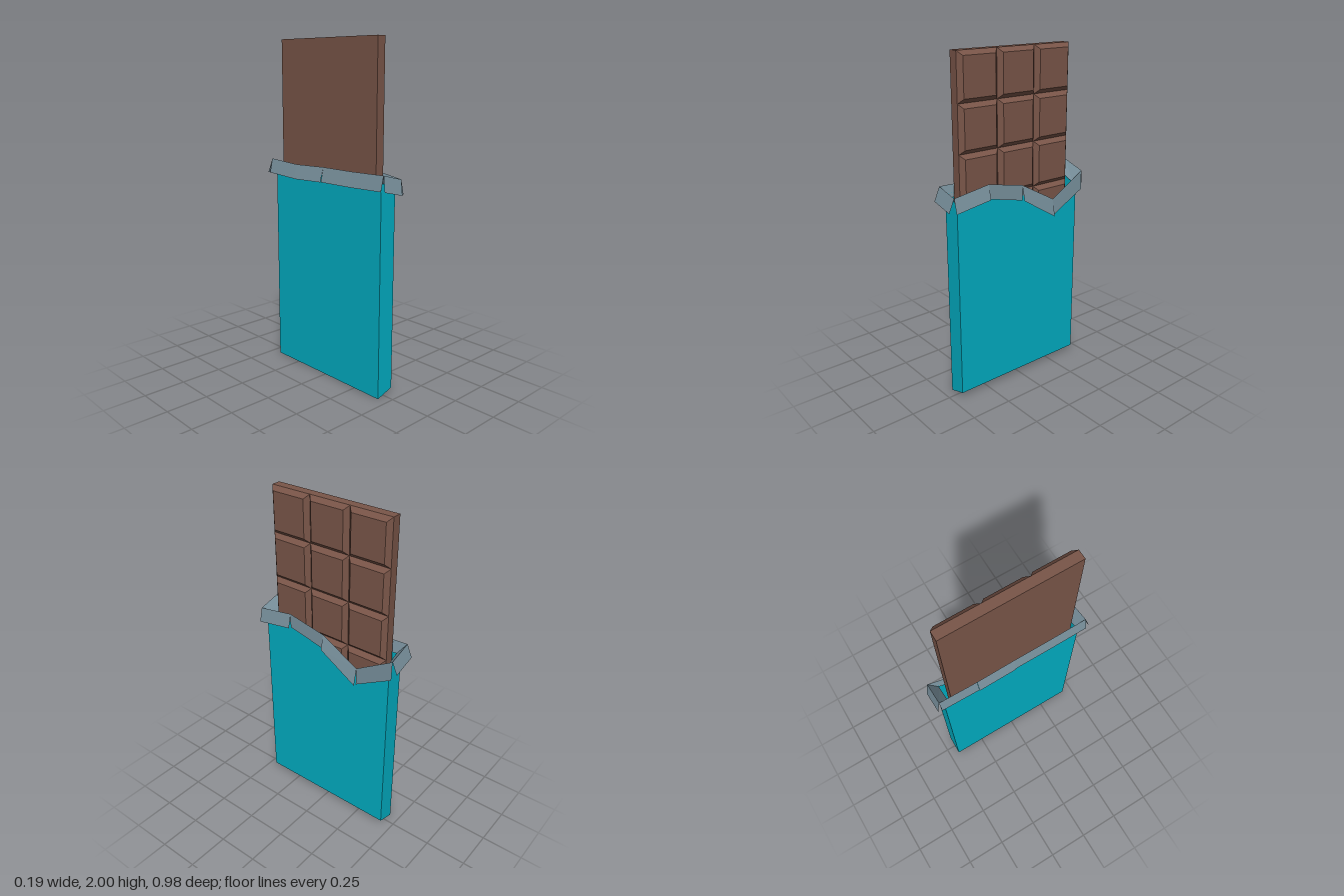
import * as THREE from 'three';

const material = (color) => new THREE.MeshStandardMaterial({ color, flatShading: true, side: THREE.DoubleSide });

// Mesh from a list of four-cornered faces, each corner a [x, y, z] point
function quadMesh(name, quads, mat) {
  const points = quads.flatMap(([a, b, c, d]) => [...a, ...b, ...c, ...a, ...c, ...d]);
  const geometry = new THREE.BufferGeometry();
  geometry.setAttribute('position', new THREE.Float32BufferAttribute(points, 3));
  geometry.computeVertexNormals();
  const mesh = new THREE.Mesh(geometry, mat);
  mesh.name = name;
  return mesh;
}

// Faces between two closed loops of equal length
const band = (lower, upper) => lower.map((p, i) => {
  const j = (i + 1) % lower.length;
  return [p, lower[j], upper[j], upper[i]];
});

// Chocolate piece: a box whose +x face is drawn in to give a bevel
function pieceGeometry(depth, height, width, bevel) {
  const geometry = new THREE.BoxGeometry(depth, height, width);
  const p = geometry.attributes.position;
  for (let i = 0; i < p.count; i++) {
    if (p.getX(i) > 0) {
      p.setY(i, p.getY(i) - Math.sign(p.getY(i)) * bevel);
      p.setZ(i, p.getZ(i) - Math.sign(p.getZ(i)) * bevel);
    }
  }
  geometry.computeVertexNormals();
  return geometry;
}

function createChocolate() {
  const bar = new THREE.Group();
  bar.name = 'chocolateBar';
  const brown = material(0x795548);
  const rows = 7, columns = 3, pitch = 0.27, width = 0.26;

  const slab = new THREE.Mesh(new THREE.BoxGeometry(0.055, rows * pitch, columns * width), brown);
  slab.name = 'chocolateSlab';
  slab.position.set(-0.0175, 2 - rows * pitch / 2, 0);
  bar.add(slab);

  const geometry = pieceGeometry(0.025, pitch, width, 0.025);
  for (let r = 0; r < rows; r++) {
    for (let c = 0; c < columns; c++) {
      const piece = new THREE.Mesh(geometry, brown);
      piece.name = 'chocolatePiece';
      piece.position.set(0.0225, 2 - (r + 0.5) * pitch, (c - 1) * width);
      bar.add(piece);
    }
  }
  return bar;
}

export function createModel() {
  const model = new THREE.Group();
  model.name = 'chocolateBarInWrapper';
  model.add(createChocolate());

  // Torn edge: [side, z fraction, rim height, flap drop, outward lean of the flap that starts here]
  const edge = [
    [1, 1, 1.25, 0.085, 0.02], [1, 0.51, 1.285, 0.085, 0.003], [1, 0, 1.235, 0.09, 0.021],
    [1, -0.505, 1.105, 0.105, 0.003], [1, -1, 1.24, 0.115, 0.022],
    [-1, -1, 1.285, 0.085, 0.02], [-1, -0.5, 1.272, 0.085, 0.024], [-1, 0, 1.28, 0.085, 0.02],
    [-1, 0.5, 1.28, 0.085, 0.02], [-1, 1, 1.285, 0.085, 0.024],
  ];
  const loop = (halfX, halfZ, height, offsetX = 0) =>
    edge.map(([s, f, y]) => [s * halfX + offsetX, height(y, s), f * halfZ]);

  // Paper sleeve with a slanted bottom
  const cyan = material(0x00acc1);
  const sleeveBottom = loop(0.055, 0.44, (y, s) => (s > 0 ? 0.035 : 0), -0.002);
  const sleeveTop = loop(0.055, 0.44, (y) => y - 0.045, -0.002);
  model.add(quadMesh('sleeveWalls', band(sleeveBottom, sleeveTop), cyan));
  model.add(quadMesh('sleeveBottom', [[0, 9, 5, 4].map((i) => sleeveBottom[i])], cyan));

  // Foil lining that flares up to the rim
  const foil = material(0x78909c);
  const rim = loop(0.07, 0.468, (y) => y);
  const lining = loop(0.05, 0.415, (y) => y - 0.07);
  model.add(quadMesh('foilLining', band(lining, rim), foil));

  // Foil flaps folded down outside, split at every bend
  const flaps = edge.map(([, , , drop, lean], i) => {
    const j = (i + 1) % edge.length;
    const [a, b] = [rim[i], rim[j]];
    const atEnd = edge[i][0] !== edge[j][0];
    const outX = atEnd ? 0 : edge[i][0] * lean;
    const outZ = atEnd ? Math.sign(a[2]) * lean : 0;
    const skew = atEnd ? -0.016 : 0;
    const fold = (p, d) => [p[0] + outX + skew, p[1] - d, p[2] + outZ];
    return [fold(a, atEnd ? 0.085 : drop), fold(b, atEnd ? 0.085 : edge[j][3]), b, a];
  });
  model.add(quadMesh('foilFlaps', flaps, foil));

  return model;
}
